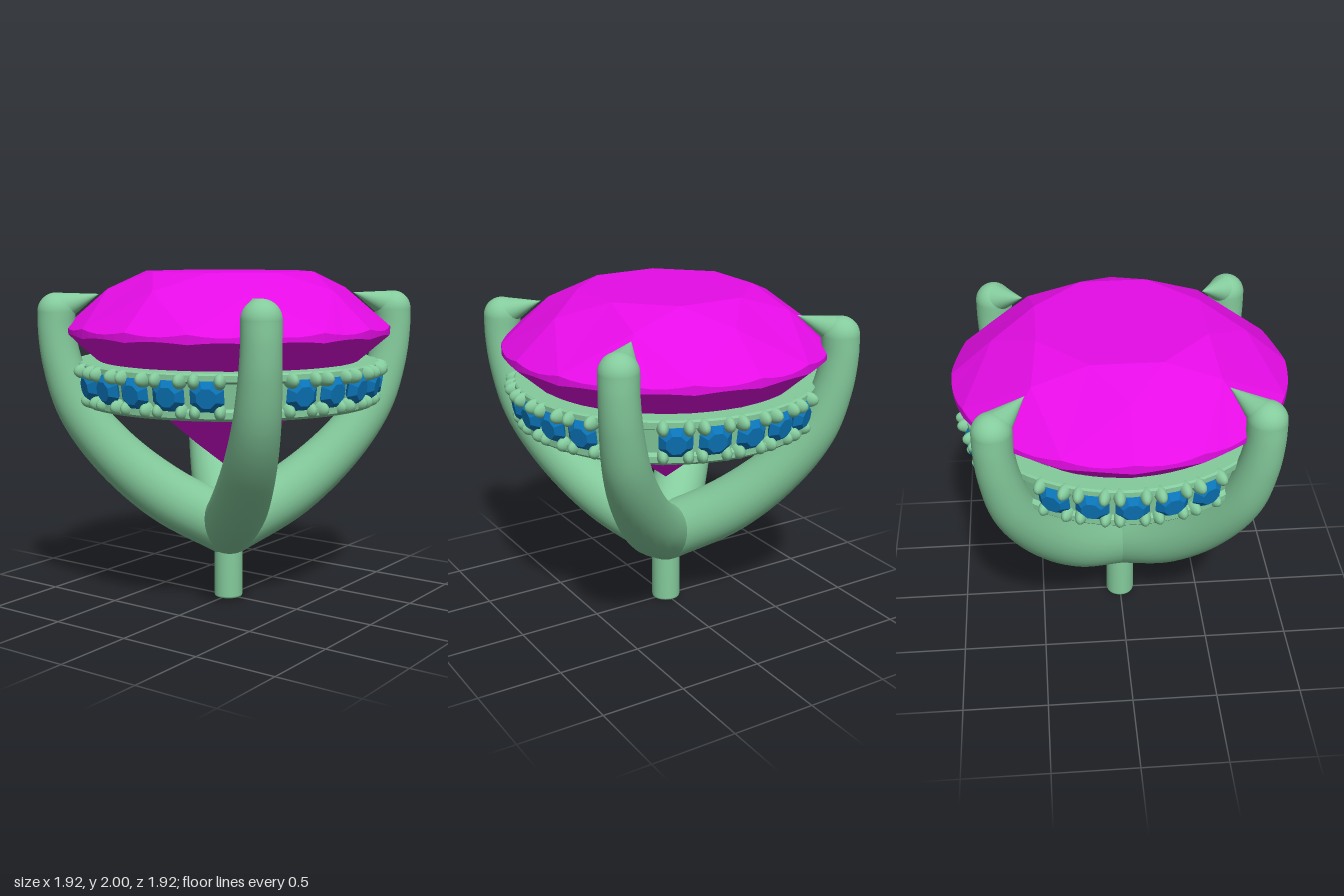
import * as THREE from 'three';
import { ParametricGeometry } from 'three/addons/geometries/ParametricGeometry.js';

const metal = new THREE.MeshStandardMaterial({ color: 0x84cb9c });
const pink = new THREE.MeshStandardMaterial({ color: 0xe60ce6, flatShading: true });
const blue = new THREE.MeshStandardMaterial({ color: 0x0b76ba, flatShading: true });

function add(parent, name, geometry, material, x = 0, y = 0, z = 0) {
  const mesh = new THREE.Mesh(geometry, material);
  mesh.name = name;
  mesh.position.set(x, y, z);
  parent.add(mesh);
  return mesh;
}

// Round brilliant: table, star, kite and half facets over a scalloped girdle
function brilliantGeometry() {
  const pos = [];
  const P = (a, r, y) => [r * Math.sin(a), y, r * Math.cos(a)];
  const tri = (...corners) => corners.forEach((c) => pos.push(...c));
  const step = Math.PI / 4, h = step / 2, n = 5;
  const wave = (a) => Math.abs(Math.sin(8 * a));
  const upper = (a) => P(a, 0.962, 1.69 - 0.018 * wave(a));
  const lower = (a) => P(a, 0.962, 1.635 + 0.012 * wave(a));
  const star = (a) => P(a, 0.72, 1.9);
  const pavilion = (a) => P(a, 0.2, 0.81 + 0.86 * 0.2 * Math.cos(h));
  const culet = [0, 0.81, 0];
  for (let k = 0; k < 8; k++) {
    const a = k * step, b = a + h, next = a + step;
    const t0 = P(a - h, 0.513, 2), t1 = P(b, 0.513, 2);
    tri([0, 2, 0], t0, t1);
    tri(star(a), t1, t0);
    tri(star(a), upper(b), t1);
    tri(upper(b), star(next), t1);
    tri(culet, pavilion(next), lower(b));
    tri(culet, lower(b), pavilion(a));
    for (let i = -n; i < n; i++) {
      const p = a + (i * h) / n, q = a + ((i + 1) * h) / n;
      tri(upper(p), upper(q), star(a));
      tri(lower(p), lower(q), upper(q));
      tri(lower(p), upper(q), upper(p));
      tri(pavilion(a), lower(q), lower(p));
    }
  }
  const g = new THREE.BufferGeometry();
  g.setAttribute('position', new THREE.Float32BufferAttribute(pos, 3));
  g.computeVertexNormals();
  return g;
}

// Tapered curved arm in the z-y plane: each point is (offset along x or z, height, radius)
function armGeometry() {
  const curve = new THREE.CatmullRomCurve3([
    [0, 0.44, 0.177], [0.27, 0.655, 0.172], [0.49, 0.925, 0.152], [0.635, 1.2, 0.132],
    [0.7, 1.46, 0.117], [0.721, 1.65, 0.11], [0.721, 1.77, 0.11],
  ].map(([x, y, r]) => new THREE.Vector3(x * Math.SQRT2, y, r)));
  return new ParametricGeometry((u, v, out) => {
    const c = curve.getPoint(u), t = curve.getTangent(u);
    const len = Math.hypot(t.x, t.y), w = v * Math.PI * 2;
    const side = c.z * Math.cos(w);
    out.set(-c.z * Math.sin(w), c.y - (side * t.x) / len, c.x + (side * t.y) / len);
  }, 40, 28);
}

// Claw tip: a cone lying inward, sheared so that its top stays level
function clawGeometry() {
  const g = new THREE.ConeGeometry(0.109, 0.25, 28, 6).rotateX(-Math.PI / 2);
  const p = g.attributes.position;
  for (let i = 0; i < p.count; i++) p.setY(i, p.getY(i) + (0.125 - p.getZ(i)) * 0.4);
  g.computeVertexNormals();
  return g;
}

export function createModel() {
  const model = new THREE.Group();
  model.name = 'gemSetting';

  add(model, 'centreStone', brilliantGeometry(), pink);

  // Four arms with claws
  const arm = armGeometry(), claw = clawGeometry();
  const ball = new THREE.SphereGeometry(0.11, 28, 18);
  for (let k = 0; k < 4; k++) {
    const prong = new THREE.Group();
    prong.name = 'prong';
    prong.rotation.y = Math.PI / 4 + (k * Math.PI) / 2;
    add(prong, 'prongArm', arm, metal);
    add(prong, 'prongTop', ball, metal, 0, 1.77, 1.02);
    add(prong, 'prongClaw', claw, metal, 0, 1.77, 0.895);
    model.add(prong);
  }
  add(model, 'armJoint', new THREE.SphereGeometry(0.16, 28, 18), metal, 0, 0.44, 0);

  // Post with a softened foot
  const foot = [[0, 0], [0.075, 0], [0.084, 0.004], [0.087, 0.014], [0.087, 0.4]];
  add(model, 'post', new THREE.LatheGeometry(foot.map(([x, y]) => new THREE.Vector2(x, y)), 32), metal);

  // Halo band with a conical seat
  const band = [
    [0.52, 1.22], [0.86, 1.22], [0.875, 1.235], [0.875, 1.27], [0.85, 1.285],
    [0.865, 1.42], [0.9, 1.435], [0.9, 1.47], [0.89, 1.48], [0.78, 1.48], [0.52, 1.22],
  ].map(([x, y]) => new THREE.Vector2(x, y));
  const bandGeo = new THREE.LatheGeometry(band, 96).toNonIndexed();
  bandGeo.computeVertexNormals();
  add(model, 'haloBand', bandGeo, metal);

  // Five small stones per quarter, each held by four beads
  const crown = new THREE.CylinderGeometry(0.058, 0.1, 0.04, 8).rotateY(Math.PI / 8).rotateX(Math.PI / 2);
  const base = new THREE.CylinderGeometry(0.1, 0.03, 0.07, 8).rotateY(Math.PI / 8).rotateX(Math.PI / 2);
  const bead = new THREE.SphereGeometry(1, 14, 10).scale(0.034, 0.045, 0.07);
  for (let q = 0; q < 4; q++) {
    for (let i = -2; i <= 2; i++) {
      const unit = new THREE.Group();
      unit.name = 'haloUnit';
      unit.rotation.y = (q * Math.PI) / 2 + THREE.MathUtils.degToRad(i * 14);
      const stone = new THREE.Group();
      stone.name = 'haloStone';
      stone.position.set(0, 1.355, 0.885);
      stone.rotation.x = 0.16;
      add(stone, 'stoneCrown', crown, blue, 0, 0, 0.015);
      add(stone, 'stoneBase', base, blue, 0, 0, -0.04);
      unit.add(stone);
      for (const s of [-1, 1]) {
        add(unit, 'upperBead', bead, metal, s * 0.07, 1.437, 0.886);
        add(unit, 'lowerBead', bead, metal, s * 0.068, 1.265, 0.845);
      }
      model.add(unit);
    }
  }
  return model;
}
